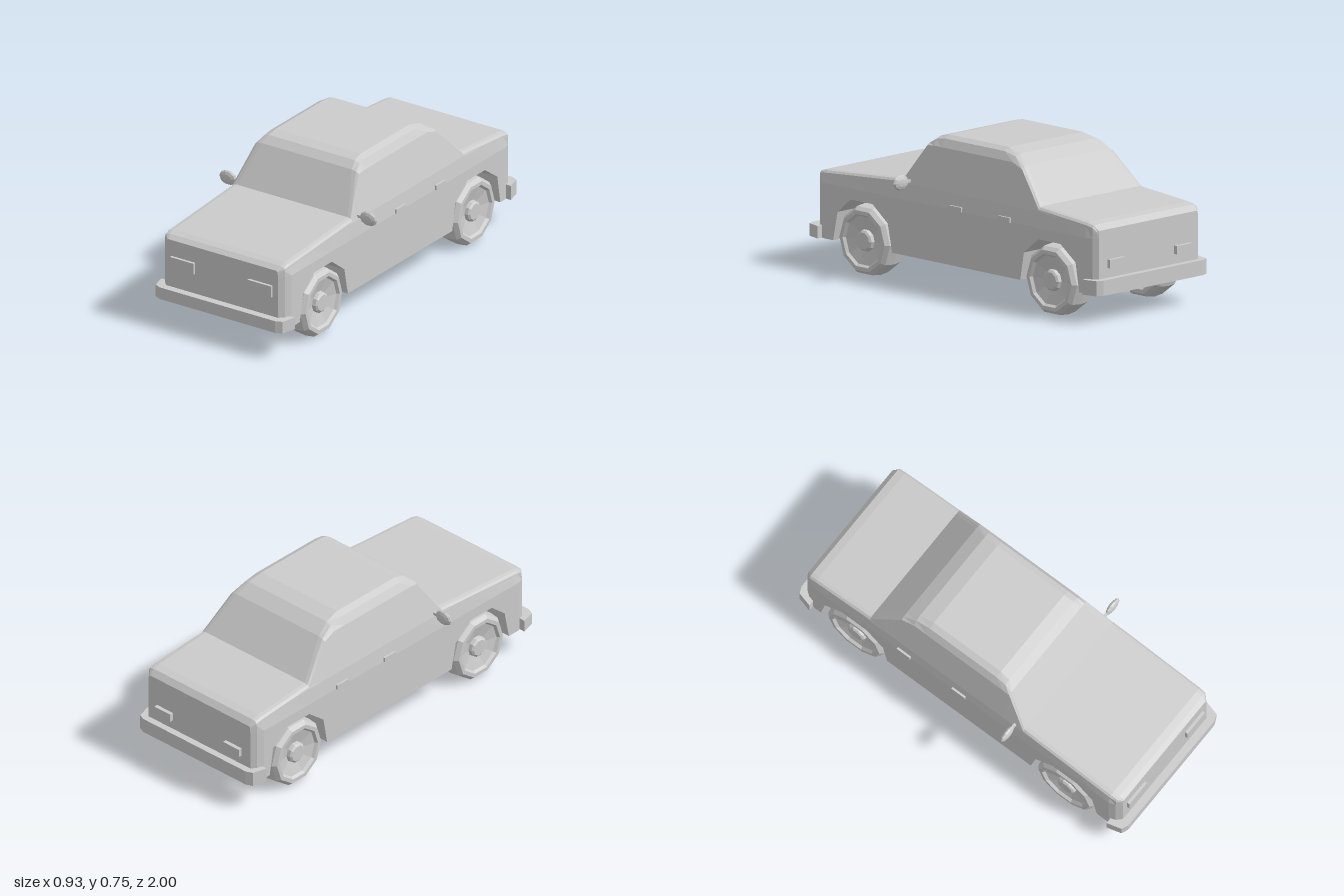
import * as THREE from 'three';

const grey = new THREE.MeshStandardMaterial({ color: 0xcccccc, flatShading: true });

function add(parent, name, geometry, x = 0, y = 0, z = 0) {
  const mesh = new THREE.Mesh(geometry, grey);
  mesh.name = name;
  mesh.position.set(x, y, z);
  parent.add(mesh);
  return mesh;
}

// Piecewise linear lookup in a table of [z, value], z ascending
function lookup(table, z) {
  let i = 1;
  while (i < table.length - 1 && table[i][0] < z) i++;
  const [z0, v0] = table[i - 1], [z1, v1] = table[i];
  return v0 + (v1 - v0) * THREE.MathUtils.clamp((z - z0) / (z1 - z0), 0, 1);
}

// Top line, underside with wheel arches, and half width along the car
const FLOOR = 0.145;
const topLine = [[-0.965, 0.46], [-0.94, 0.487], [-0.9, 0.495], [-0.57, 0.522], [-0.41, 0.69],
  [-0.34, 0.735], [-0.26, 0.755], [0.15, 0.755], [0.205, 0.742], [0.245, 0.71],
  [0.37, 0.52], [0.9, 0.482], [0.935, 0.473], [0.96, 0.455]];
const underside = [[-0.965, FLOOR], [-0.86, FLOOR], [-0.835, 0.29], [-0.73, 0.365], [-0.58, 0.365],
  [-0.48, 0.285], [-0.455, FLOOR], [0.425, FLOOR], [0.455, 0.285], [0.56, 0.365],
  [0.71, 0.365], [0.8, 0.29], [0.83, FLOOR], [0.96, FLOOR]];
const halfWidth = [[-0.965, 0.338], [-0.94, 0.358], [-0.9, 0.368], [0.9, 0.368], [0.935, 0.355], [0.96, 0.33]];

// Right half of the cross-section at z, from the floor to the flat of the top
function halfSection(z) {
  const t = lookup(topLine, z), w = lookup(halfWidth, z);
  const rise = THREE.MathUtils.clamp((t - 0.52) / 0.235, 0, 1);
  const shoulderY = Math.min(0.5, t - 0.022);
  const sideY = Math.max(shoulderY + 0.006, Math.min(t - 0.014, 0.7));
  const sideX = 0.357 - 0.052 * THREE.MathUtils.clamp((sideY - 0.5) / 0.2, 0, 1);
  const flatX = 0.328 - 0.078 * rise;
  return [
    [w, lookup(underside, z)],
    [w, Math.min(0.42, t - 0.04)],
    [Math.min(0.358, w - 0.001), shoulderY],
    [Math.min(sideX, w - 0.002), sideY],
    [Math.min((sideX + flatX) / 2 + 0.004, w - 0.004), t - (t - sideY) * 0.28],
    [Math.min(flatX, w - 0.01), t],
  ];
}

function bodyGeometry() {
  const stations = [...new Set([...topLine, ...underside, ...halfWidth].map(p => p[0]))].sort((a, b) => a - b);
  const pos = [], index = [];
  let n = 0;
  for (const z of stations) {
    const half = halfSection(z);
    const ring = [...half, ...half.map(([x, y]) => [-x, y]).reverse()];
    n = ring.length;
    for (const [x, y] of ring) pos.push(x, y, z);
  }
  const last = (stations.length - 1) * n;
  for (let i = 0; i < last; i += n) {
    for (let j = 0; j < n; j++) {
      const k = (j + 1) % n;
      index.push(i + j, i + k, i + n + k, i + j, i + n + k, i + n + j);
    }
  }
  for (let k = 1; k < n - 1; k++) {
    index.push(last, last + k, last + k + 1, 0, k + 1, k);
  }
  const g = new THREE.BufferGeometry();
  g.setAttribute('position', new THREE.Float32BufferAttribute(pos, 3));
  g.setIndex(index);
  const flat = g.toNonIndexed();
  flat.computeVertexNormals();
  return flat;
}

// Ten-sided tyre with a dished face on both sides and a hub cap; axis along +x
function wheelGeometry() {
  const profile = [[0, -0.045], [0.05, -0.045], [0.125, -0.06], [0.135, -0.072], [0.155, -0.072],
    [0.172, -0.052], [0.178, 0], [0.172, 0.052], [0.155, 0.072], [0.135, 0.072], [0.125, 0.058],
    [0.055, 0.04], [0.052, 0.058], [0.042, 0.066], [0, 0.066]];
  const g = new THREE.LatheGeometry(profile.map(p => new THREE.Vector2(...p)), 10);
  return g.rotateZ(-Math.PI / 2);
}

// Bumper plan wrapping round the corners, extruded upwards; faces +z
function bumperGeometry(height) {
  const side = [[0.35, 0.91], [0.395, 0.91], [0.375, 0.985], [0.34, 1.0]];
  const inner = [[0.33, 0.945]];
  const right = [...inner, ...side];
  const outline = [...right, ...right.map(([x, z]) => [-x, z]).reverse()];
  const shape = new THREE.Shape(outline.map(([x, z]) => new THREE.Vector2(x, -z)));
  const g = new THREE.ExtrudeGeometry(shape, { depth: height, bevelEnabled: false });
  return g.rotateX(-Math.PI / 2);
}

export function createModel() {
  const car = new THREE.Group();
  car.name = 'car';
  add(car, 'body', bodyGeometry());

  // Bumpers
  add(car, 'frontBumper', bumperGeometry(0.062), 0, FLOOR, 0);
  add(car, 'rearBumper', bumperGeometry(0.075), 0, FLOOR, 0).rotation.y = Math.PI;

  // Axles and wheels
  const wheel = wheelGeometry();
  for (const [end, z] of [['front', 0.63], ['rear', -0.655]]) {
    add(car, end + 'Axle', new THREE.CylinderGeometry(0.03, 0.03, 0.52, 8).rotateZ(Math.PI / 2), 0, 0.17, z);
    for (const s of [1, -1]) {
      const mesh = add(car, end + (s > 0 ? 'Left' : 'Right') + 'Wheel', wheel, s * 0.298, 0.171, z);
      if (s < 0) mesh.rotation.y = Math.PI;
    }
  }

  // Lights, door handles and wing mirrors on both sides
  for (const s of [1, -1]) {
    const side = s > 0 ? 'left' : 'right';
    add(car, side + 'Headlight', new THREE.BoxGeometry(0.138, 0.06, 0.03), s * 0.229, 0.341, 0.96);
    add(car, side + 'TailLight', new THREE.BoxGeometry(0.105, 0.042, 0.03), s * 0.228, 0.29, -0.97);
    for (const [door, z] of [['Front', -0.015], ['Rear', -0.35]]) {
      add(car, side + door + 'Handle', new THREE.BoxGeometry(0.02, 0.024, 0.08), s * 0.366, 0.43, z);
    }
    const mirror = new THREE.Group();
    mirror.name = side + 'Mirror';
    mirror.position.set(s * 0.415, 0.515, 0.318);
    const shell = new THREE.SphereGeometry(1, 10, 6).rotateX(Math.PI / 2).scale(0.051, 0.038, 0.016);
    add(mirror, 'mirrorShell', shell);
    add(mirror, 'mirrorStem', new THREE.BoxGeometry(0.05, 0.014, 0.014), -s * 0.055, 0, 0);
    car.add(mirror);
  }
  return car;
}
